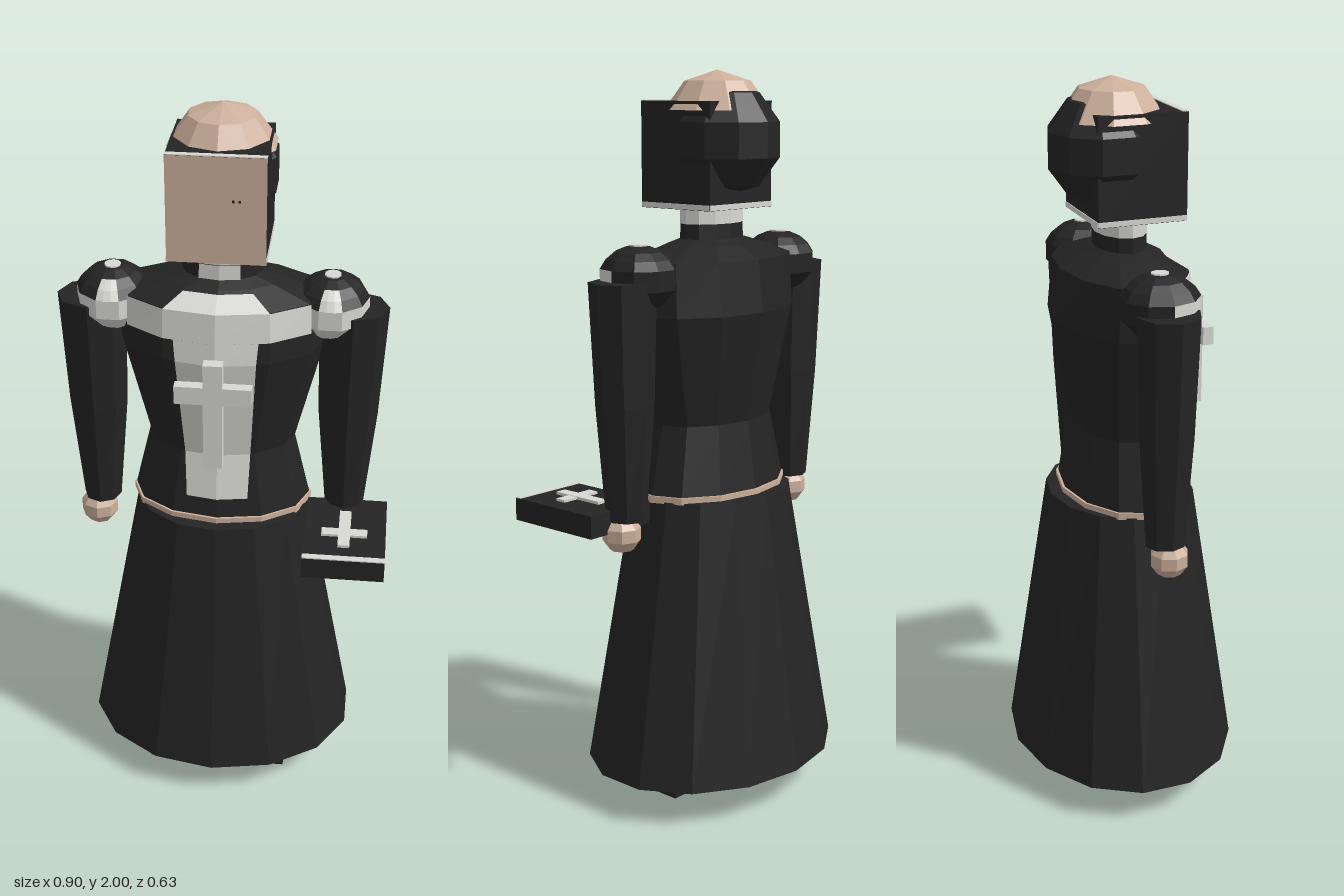
import * as THREE from 'three';

const CX = -0.013; // body axis

export function createModel() {
  const root = new THREE.Group();
  root.name = 'robedFigure';

  const mat = (name, color) => {
    const m = new THREE.MeshStandardMaterial({ color, flatShading: true });
    m.name = name;
    return m;
  };
  const black = mat('blackCloth', 0x242424);
  const white = mat('whiteCloth', 0xd8d9d4);
  const skin = mat('skin', 0xcdb09c);

  const add = (name, geo, material, x = 0, y = 0, z = 0, parent = root) => {
    const m = new THREE.Mesh(geo, material);
    m.name = name;
    m.position.set(x, y, z);
    parent.add(m);
    return m;
  };

  // Box given by its minimum and maximum corners
  const box = (name, material, x0, x1, y0, y1, z0, z1) =>
    add(name, new THREE.BoxGeometry(x1 - x0, y1 - y0, z1 - z0), material,
      (x0 + x1) / 2, (y0 + y1) / 2, (z0 + z1) / 2);

  const fromTriangles = (points) => {
    const g = new THREE.BufferGeometry();
    g.setAttribute('position', new THREE.Float32BufferAttribute(points.flat(), 3));
    g.computeVertexNormals();
    return g;
  };

  // Faceted surface through elliptical sections [y, rx, rz, centreX]
  const loft = (sections, sides, { from = 0, to = Math.PI * 2, grow = 0, caps = true } = {}) => {
    const at = ([y, rx, rz, cx = 0], i) => {
      const a = from + ((to - from) * i) / sides;
      return [cx + (rx + grow) * Math.sin(a), y, (rz + grow) * Math.cos(a)];
    };
    const tri = [];
    for (let s = 0; s < sections.length - 1; s++) {
      for (let i = 0; i < sides; i++) {
        const a = at(sections[s], i), b = at(sections[s], i + 1);
        const c = at(sections[s + 1], i + 1), d = at(sections[s + 1], i);
        tri.push(a, b, c, a, c, d);
      }
    }
    if (caps) {
      const lo = sections[0], hi = sections[sections.length - 1];
      for (let i = 0; i < sides; i++) {
        tri.push([lo[3] || 0, lo[0], 0], at(lo, i + 1), at(lo, i));
        tri.push([hi[3] || 0, hi[0], 0], at(hi, i), at(hi, i + 1));
      }
    }
    return fromTriangles(tri);
  };

  // Skirt, belt and torso
  add('skirt', loft([[0.1, 0.387, 0.315], [0.87, 0.24, 0.2]], 14), black, CX);
  add('belt', loft([[0.866, 0.249, 0.166], [0.885, 0.249, 0.166]], 12), skin, CX);
  const torso = [
    [0.88, 0.245, 0.16], [1.07, 0.2, 0.13], [1.37, 0.275, 0.18],
    [1.51, 0.27, 0.165], [1.545, 0.16, 0.1], [1.56, 0.105, 0.068],
  ];
  add('torso', loft(torso, 12), black, CX);

  // Painted white front: narrow strip, wide chest band, throat patch
  const sectionAt = (y) => {
    let i = 0;
    while (i < torso.length - 2 && torso[i + 1][0] < y) i++;
    const t = (y - torso[i][0]) / (torso[i + 1][0] - torso[i][0]);
    return torso[i].map((v, k) => v + (torso[i + 1][k] - v) * t);
  };
  const rows = [[0.94, 0.083], [1.07, 0.088], [1.37, 0.105], [1.43, 0.11]].map(([y, w]) => {
    const [, rx, rz] = sectionAt(y);
    const edge = rz * (1 - 0.134 * w / (0.5 * rx));
    return [[-w, y, edge + 0.004], [0, y, rz + 0.004], [w, y, edge + 0.004]];
  });
  const strip = [];
  for (let r = 0; r < rows.length - 1; r++) {
    for (let i = 0; i < 2; i++) {
      const a = rows[r][i], b = rows[r][i + 1], c = rows[r + 1][i + 1], d = rows[r + 1][i];
      strip.push(a, b, c, a, c, d);
    }
  }
  add('frontStrip', fromTriangles(strip), white, CX);
  const third = Math.PI / 3;
  add('chestBand', loft([sectionAt(1.43), sectionAt(1.51)], 4,
    { from: -third, to: third, grow: 0.004, caps: false }), white, CX);
  add('throatPatch', loft([sectionAt(1.51), sectionAt(1.54)], 2,
    { from: -third / 2, to: third / 2, grow: 0.004, caps: false }), white, CX);

  // Neck and collar
  add('neck', loft([[1.54, 0.105, 0.068], [1.6, 0.103, 0.066]], 12), black, CX);
  add('collar', loft([[1.6, 0.103, 0.068], [1.65, 0.103, 0.068]], 12), white, CX);
  add('collarTab', loft([[1.56, 0.105, 0.068], [1.6, 0.103, 0.068]], 2,
    { from: -third / 2, to: third / 2, grow: 0.003, caps: false }), white, CX);

  // Hanging cross
  box('crossUpright', white, CX - 0.025, CX + 0.025, 1.095, 1.4, 0.203, 0.235);
  box('crossBar', white, CX - 0.1, CX + 0.1, 1.285, 1.335, 0.204, 0.234);

  // Head block with a skin face and pale edges
  const headGeo = new THREE.BoxGeometry(0.25, 0.28, 0.243);
  add('head', headGeo, [black, black, black, white, skin, black], CX, 1.78, 0.0185);
  box('headTopEdge', white, CX - 0.125, CX + 0.125, 1.919, 1.922, 0.123, 0.139);
  for (const s of [-1, 1]) {
    box('headLowerEdge', white, CX + s * 0.125 - 0.001, CX + s * 0.125 + 0.001, 1.641, 1.655, -0.102, 0.139);
  }
  box('headBackEdge', white, CX - 0.125, CX + 0.125, 1.641, 1.655, -0.105, -0.102);
  for (const x of [0.03, 0.046]) box('eye', black, x - 0.003, x + 0.003, 1.804, 1.81, 0.139, 0.142);

  // Bald crown over a dark ring of hair
  const crownAngle = Math.PI * 0.4;
  const crown = add('crown', new THREE.SphereGeometry(0.15, 10, 2, 0, Math.PI * 2, 0, crownAngle),
    skin, CX, 1.85, -0.02);
  crown.rotation.y = Math.PI / 2;
  const hair = add('hair', new THREE.SphereGeometry(0.15, 10, 5), black, CX, 1.82, -0.05);
  hair.rotation.y = Math.PI / 2;

  // Arms: shoulder with pale front facets, sleeve and hand
  const step = Math.PI / 5;
  for (const s of [-1, 1]) {
    const side = s > 0 ? 'left' : 'right';
    const shoulder = new THREE.Group();
    shoulder.name = side + 'Shoulder';
    shoulder.position.set(CX + s * 0.287, 1.473, 0);
    shoulder.scale.set(0.95, 0.8, 1.02);
    root.add(shoulder);
    const patch = (name, m, p0, pn, t0, tn) => add(name, new THREE.SphereGeometry(
      0.108, pn, tn, p0 * step, pn * step, t0 * step, tn * step), m, 0, 0, 0, shoulder);
    patch('shoulderTop', black, 0, 10, 0, 1);
    patch('shoulderFrontPatch', white, 2, 1, 1, 1);
    patch('shoulderUpper', black, 3, 9, 1, 1);
    patch('shoulderFront', white, 0, 5, 2, 3);
    patch('shoulderBack', black, 5, 5, 2, 3);
    add('shoulderDot', new THREE.CylinderGeometry(0.023, 0.023, 0.008, 10), white, 0, 0.105, 0, shoulder);

    add(side + 'Sleeve', loft([
      [0.84, 0.052, 0.055, s * 0.342], [1.15, 0.08, 0.075, s * 0.342], [1.47, 0.092, 0.085, s * 0.346],
    ], 8), black, CX);
    add(side + 'Hand', new THREE.SphereGeometry(0.054, 8, 5), skin, CX + s * 0.352, 0.802, 0.008);

    // Leg and shoe
    const x = CX + s * 0.127;
    add(side + 'Leg', new THREE.CylinderGeometry(0.07, 0.065, 0.2, 8), black, x, 0.105, 0);
    box(side + 'Shoe', black, x - 0.073, x + 0.073, 0, 0.12, -0.04, 0.175);
  }

  // Book with a small cross on its cover
  box('book', black, 0.23, 0.45, 0.808, 0.87, 0.01, 0.3);
  box('bookEdge', white, 0.23, 0.45, 0.869, 0.872, 0.281, 0.3);
  box('bookCrossUpright', white, 0.322, 0.354, 0.869, 0.878, 0.08, 0.242);
  box('bookCrossBar', white, 0.276, 0.4, 0.869, 0.877, 0.162, 0.193);

  return root;
}
